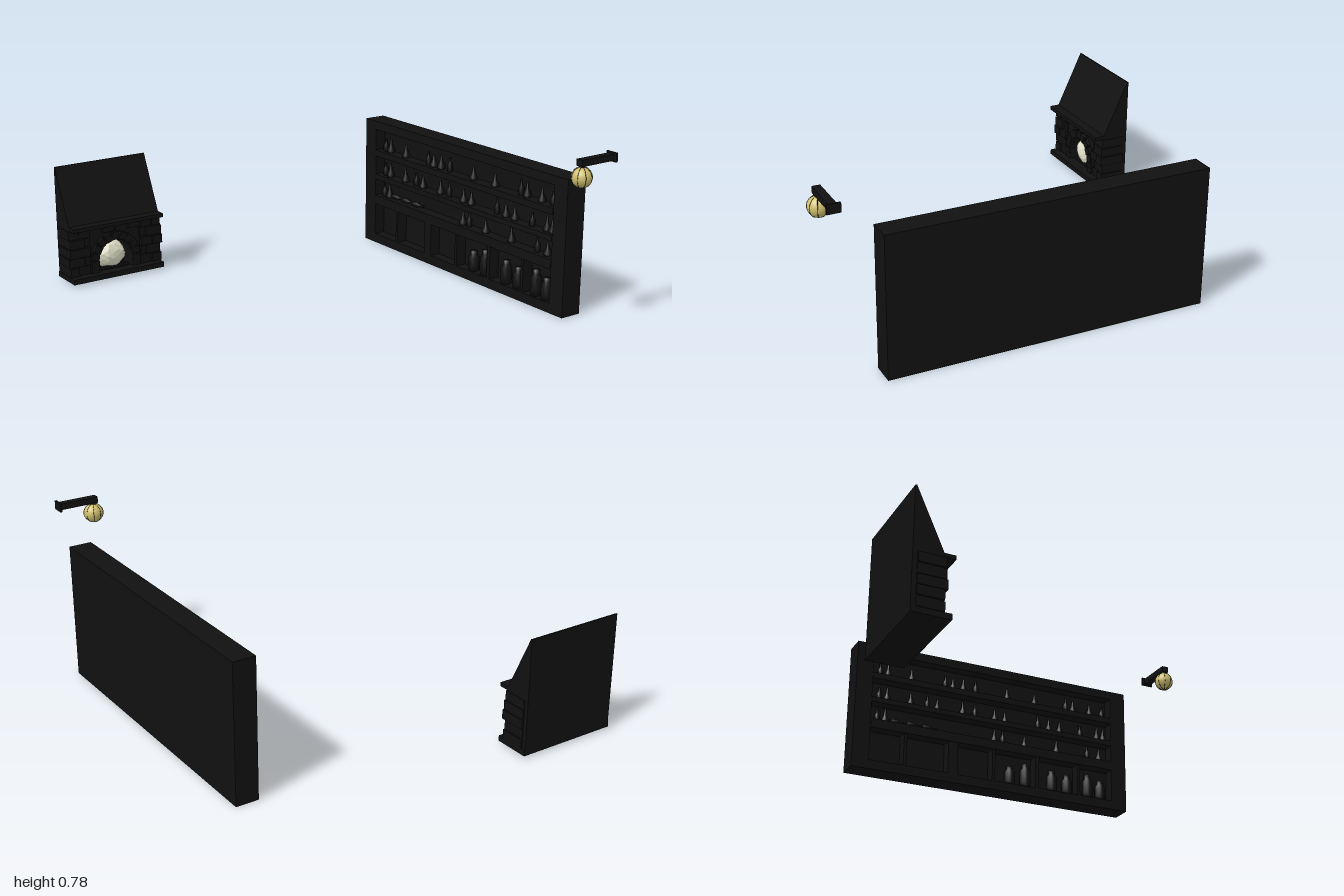
import * as THREE from 'three';

const dark = new THREE.MeshStandardMaterial({ color: 0x111111, flatShading: true });
const darkSmooth = new THREE.MeshStandardMaterial({ color: 0x111111, side: THREE.DoubleSide });
const glow = new THREE.MeshStandardMaterial({ color: 0xd0c070 });
const fire = new THREE.MeshStandardMaterial({ color: 0xe8e8d0, flatShading: true });

function add(parent, name, geometry, material = dark) {
  const mesh = new THREE.Mesh(geometry, material);
  mesh.name = name;
  parent.add(mesh);
  return mesh;
}

// Box given by its lower and upper limits on each axis
function box(parent, name, x0, x1, y0, y1, z0, z1) {
  const mesh = add(parent, name, new THREE.BoxGeometry(x1 - x0, y1 - y0, z1 - z0));
  mesh.position.set((x0 + x1) / 2, (y0 + y1) / 2, (z0 + z1) / 2);
  return mesh;
}

function lathe(points, segments = 10) {
  return new THREE.LatheGeometry(points.map(([r, y]) => new THREE.Vector2(r, y)), segments);
}

function makeShelves() {
  const g = new THREE.Group();
  g.name = 'bottleShelves';
  const back = -0.84, front = -0.735, inner = -0.79;
  box(g, 'backPanel', -0.66, 0.77, 0.005, 0.625, back, inner);
  for (const [x0, x1] of [[-0.667, -0.585], [0.69, 0.772]]) box(g, 'sidePost', x0, x1, 0, 0.59, back, front);
  box(g, 'topRail', -0.667, 0.772, 0.59, 0.632, back, front);
  box(g, 'plinth', -0.585, 0.69, 0, 0.045, back, front);
  for (const [y0, y1] of [[0.205, 0.25], [0.335, 0.36], [0.455, 0.485]]) {
    box(g, 'shelf', -0.585, 0.69, y0, y1, inner, front + 0.004);
  }
  // Lower compartments
  for (const [x0, x1] of [[-0.415, -0.4], [-0.19, -0.14], [0.04, 0.055], [0.27, 0.29], [0.5, 0.515]]) {
    box(g, 'divider', x0, x1, 0.045, 0.205, inner, front);
  }

  // Bottles: a slim flask and a pointed decanter
  const slim = lathe([[0, 0], [0.013, 0], [0.014, 0.035], [0.005, 0.052], [0.005, 0.072], [0.007, 0.074], [0, 0.076]]);
  const pointed = lathe([[0, 0], [0.018, 0], [0.02, 0.012], [0.008, 0.04], [0.004, 0.07], [0, 0.074]]);
  const rows = [
    [0.485, [-0.54, -0.5, -0.38, -0.205, -0.165, -0.11, -0.045, 0.125, 0.275, 0.45, 0.49, 0.585, 0.655]],
    [0.36, [-0.54, -0.5, -0.38, -0.295, -0.243, -0.11, -0.045, 0.06, 0.115, 0.295, 0.355, 0.415, 0.53, 0.625, 0.66]],
    [0.25, [-0.545, -0.505, 0.06, 0.105, 0.222, 0.398, 0.57, 0.635]],
  ];
  for (const [y, xs] of rows) {
    xs.forEach((x, i) => {
      const bottle = add(g, 'bottle', i % 3 ? pointed : slim, darkSmooth);
      bottle.position.set(x, y, -0.765);
      bottle.scale.y = 0.85 + 0.15 * ((i * 7) % 4) / 3;
    });
  }
  // Bottles lying on the third shelf
  for (const x of [-0.44, -0.36, -0.28]) {
    const bottle = add(g, 'lyingBottle', slim, darkSmooth);
    bottle.rotation.z = -Math.PI / 2;
    bottle.position.set(x - 0.035, 0.264, -0.765);
  }

  // Jars with stepped lids
  const jar = lathe([[0, 0], [0.026, 0], [0.03, 0.02], [0.03, 0.07], [0.018, 0.085], [0.02, 0.1], [0, 0.104]], 12);
  for (const [x, s] of [[0.145, 0.95], [0.228, 1.2], [0.372, 1.1], [0.455, 1], [0.57, 1.2], [0.64, 1]]) {
    const pot = add(g, 'jar', jar, darkSmooth);
    pot.position.set(x, 0.045, -0.765);
    pot.scale.set(0.9, s, 0.9);
  }
  return g;
}

// Built facing +z with its back on z = 0, then turned to face +x
function makeFireplace() {
  const g = new THREE.Group();
  g.name = 'fireplace';
  const w = 0.235, r = 0.088;

  // Masonry with an arched opening
  const wall = new THREE.Shape([[-w, 0.01], [w, 0.01], [w, 0.27], [-w, 0.27]].map(p => new THREE.Vector2(...p)));
  const hole = new THREE.Path();
  hole.moveTo(-r, 0.035);
  hole.lineTo(-r, 0.095);
  hole.absarc(0, 0.095, r, Math.PI, 0, true);
  hole.lineTo(r, 0.035);
  hole.closePath();
  wall.holes.push(hole);
  const masonry = add(g, 'masonry', new THREE.ExtrudeGeometry(wall, { depth: 0.11, bevelEnabled: false, curveSegments: 10 }));
  masonry.position.z = 0.01;
  box(g, 'fireback', -w, w, 0.01, 0.27, 0, 0.012);
  box(g, 'hearth', -0.238, 0.238, 0.01, 0.035, 0, 0.165);
  box(g, 'mantel', -0.235, 0.235, 0.264, 0.282, 0, 0.175);

  // Sloping chimney hood
  const side = new THREE.Shape([[0, 0.282], [0.127, 0.282], [0.006, 0.545], [0, 0.545]].map(p => new THREE.Vector2(...p)));
  const hoodGeo = new THREE.ExtrudeGeometry(side, { depth: 0.47, bevelEnabled: false });
  hoodGeo.rotateY(-Math.PI / 2);
  hoodGeo.translate(0.235, 0, 0);
  add(g, 'hood', hoodGeo);

  // Rough corner stones, staggered in courses
  for (const s of [-1, 1]) {
    for (let i = 0; i < 5; i++) {
      const y = 0.037 + i * 0.0455, split = i % 2 ? 0.16 : 0.19;
      const out = 0.238 + 0.006 * ((i * 2 + (s > 0 ? 1 : 0)) % 3) / 2;
      const depth = 0.132 + 0.012 * ((i * 3 + 1) % 4) / 3;
      for (const [a, b, d] of [[split + 0.003, out, depth], [0.133, split, 0.127 + 0.006 * (i % 3)]]) {
        box(g, 'stone', s > 0 ? a : -b, s > 0 ? b : -a, y, y + 0.042, 0.02, d);
      }
    }
    // Jamb stones beside the opening
    for (let i = 0; i < 2; i++) {
      box(g, 'jambStone', s > 0 ? r : -0.128, s > 0 ? 0.128 : -r, 0.036 + i * 0.03, 0.064 + i * 0.03, 0.06, 0.132 + 0.005 * i);
    }
  }
  // Stones above the arch
  for (let i = 0; i < 4; i++) box(g, 'lintelStone', -0.13 + i * 0.066, -0.068 + i * 0.066, 0.226, 0.262, 0.05, 0.126 + 0.006 * (i % 2));
  // Wedge stones around the arch
  for (let i = 0; i < 9; i++) {
    const a = Math.PI * (i + 0.5) / 9;
    const stone = add(g, 'archStone', new THREE.BoxGeometry(0.038, 0.034, 0.07));
    stone.position.set(Math.cos(a) * 0.107, 0.095 + Math.sin(a) * 0.107, 0.1 + 0.004 * (i % 2));
    stone.rotation.z = a;
  }

  // Faceted fire: a lump with ridges, drawn up into a tip
  const flameGeo = new THREE.IcosahedronGeometry(1, 2);
  const p = flameGeo.attributes.position;
  for (let i = 0; i < p.count; i++) {
    const x = p.getX(i), y = p.getY(i), z = p.getZ(i);
    const k = 1 + 0.08 * Math.sin(5 * x + 3 * y) * Math.cos(4 * z - 2 * y);
    p.setXYZ(i, x * k * 0.08, Math.max(y * k, -0.85) * 0.07, z * k * 0.048);
  }
  flameGeo.computeVertexNormals();
  add(g, 'fire', flameGeo, fire).position.set(-0.005, 0.1, 0.075);
  const logGeo = new THREE.CylinderGeometry(0.011, 0.011, 0.15, 8);
  for (const z of [0.055, 0.1]) {
    const log = add(g, 'log', logGeo);
    log.rotation.z = Math.PI / 2;
    log.position.set(0, 0.04, z);
  }

  g.rotation.y = Math.PI / 2;
  g.position.set(-1, 0, 0.595);
  return g;
}

function makeLamp() {
  const g = new THREE.Group();
  g.name = 'wallLamp';
  box(g, 'wallPlate', 0.923, 0.981, 0.743, 0.784, -0.806, -0.797);
  box(g, 'arm', 0.935, 0.969, 0.749, 0.778, -0.8, -0.612);
  const neck = add(g, 'neck', new THREE.CylinderGeometry(0.012, 0.014, 0.02, 10));
  neck.position.set(0.952, 0.744, -0.63);
  const globe = add(g, 'globe', new THREE.SphereGeometry(0.045, 24, 16), glow);
  globe.position.set(0.952, 0.7, -0.63);
  // Thin wire cage around the globe
  const ring = new THREE.TorusGeometry(0.0452, 0.001, 4, 32);
  for (let i = 0; i < 4; i++) {
    const wire = add(g, 'cageWire', ring, darkSmooth);
    wire.position.copy(globe.position);
    wire.rotation.y = i * Math.PI / 4 + Math.PI / 8;
  }
  return g;
}

export function createModel() {
  const model = new THREE.Group();
  model.name = 'tavernFurnishings';
  model.add(makeShelves(), makeFireplace(), makeLamp());
  return model;
}
